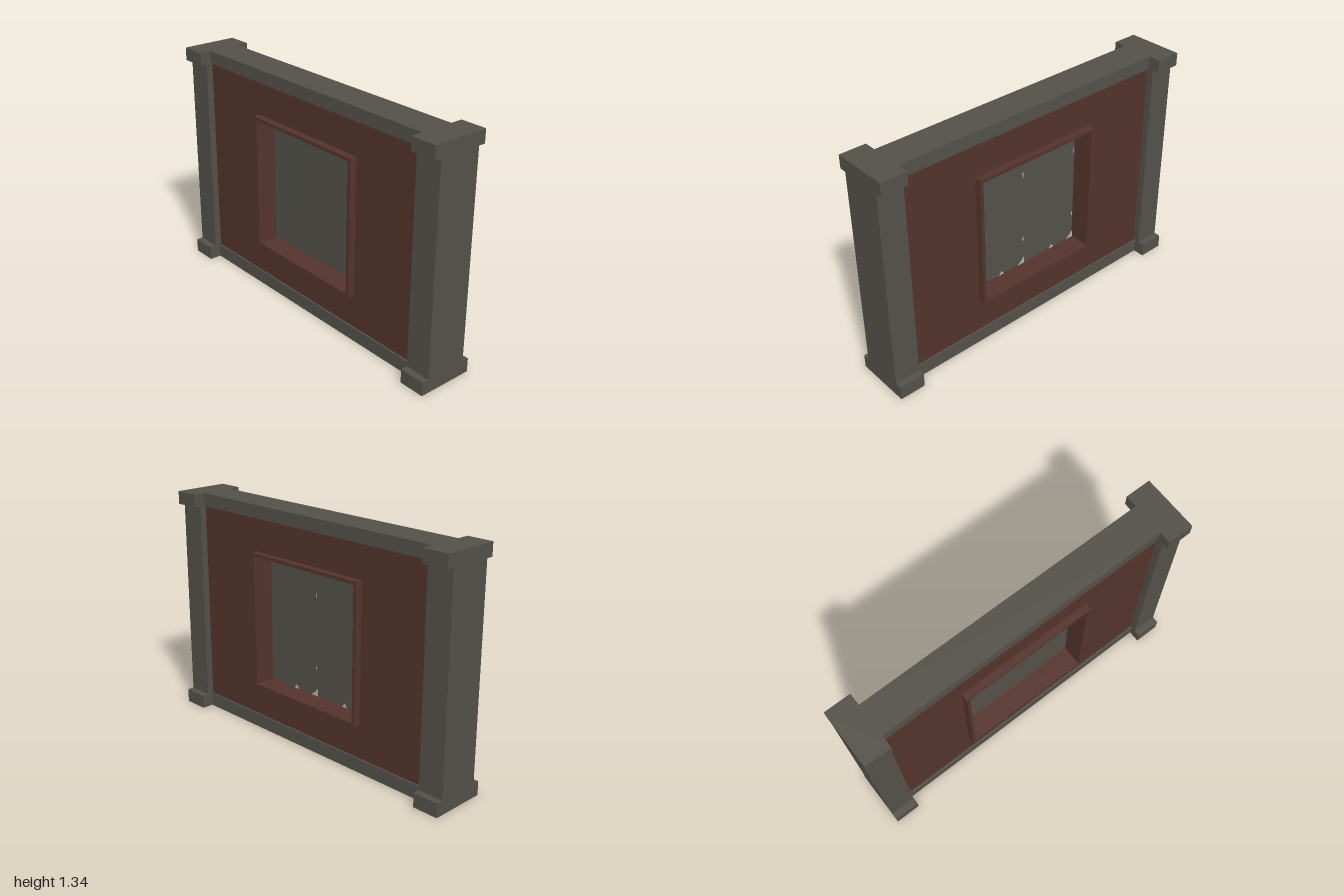
import * as THREE from 'three';

const mat = (name, color, side = THREE.FrontSide) => {
  const m = new THREE.MeshStandardMaterial({ color, side });
  m.name = name;
  return m;
};

export function createModel() {
  const group = new THREE.Group();
  const grey = mat('weathered grey', 0x54514a);
  const brown = mat('red brown', 0x54342c);
  const pane = mat('pane grey', 0x54514a, THREE.DoubleSide);
  const pale = mat('pale chip', 0xb4b4b0, THREE.DoubleSide);

  const add = (name, geometry, material, x = 0, y = 0, z = 0) => {
    const mesh = new THREE.Mesh(geometry, material);
    mesh.name = name;
    mesh.position.set(x, y, z);
    group.add(mesh);
    return mesh;
  };
  const box = (name, w, y0, y1, d, z) =>
    add(name, new THREE.BoxGeometry(w, y1 - y0, d), grey, 0, (y0 + y1) / 2, z);

  // Rectangle with a rectangular opening, extruded along x
  const ring = (name, halfZ, y0, y1, inZ, in0, in1, depth) => {
    const rect = (P, a, b, c) => new P([[-a, b], [a, b], [a, c], [-a, c]].map(p => new THREE.Vector2(...p)));
    const shape = rect(THREE.Shape, halfZ, y0, y1);
    shape.holes.push(rect(THREE.Path, inZ, in0, in1));
    const geometry = new THREE.ExtrudeGeometry(shape, { depth, bevelEnabled: false });
    geometry.translate(0, 0, -depth / 2).rotateY(Math.PI / 2);
    return add(name, geometry, brown);
  };

  // End posts with wider feet and caps
  for (const z of [-0.925, 0.925]) {
    box('post', 0.25, 0.08, 1.26, 0.15, z);
    box('postFoot', 0.33, 0, 0.08, 0.15, z);
    box('postCap', 0.33, 1.26, 1.335, 0.15, z);
  }
  // Bottom and top beams
  box('bottomBeam', 0.19, 0, 0.08, 1.7, 0);
  box('topBeam', 0.19, 1.26, 1.335, 1.7, 0);

  // Wall and window surround
  ring('wallPanel', 0.85, 0.08, 1.26, 0.39, 0.28, 1.06, 0.17);
  ring('windowFrame', 0.4, 0.27, 1.07, 0.38, 0.29, 1.05, 0.25);

  // Window pane in the middle of the wall
  const glass = new THREE.PlaneGeometry(0.76, 0.76).rotateY(Math.PI / 2);
  add('windowPane', glass, pane, 0, 0.67, 0);

  // Pale chips along the pane edges, repeated on both halves: [z, y] corners
  const chips = [
    [[0.19, 1.05], [0.15, 1.05], [0.17, 1.025]],
    [[0.05, 1.05], [0, 1.05], [0, 1.005], [0.02, 1.025]],
    [[0.015, 0.89], [0.005, 0.9], [0.005, 0.86]],
    [[0.015, 0.46], [0.005, 0.48], [0.005, 0.44]],
    [[0.19, 0.29], [0.15, 0.29], [0.17, 0.315]],
    [[0.05, 0.29], [0, 0.29], [0, 0.335], [0.02, 0.315]],
  ];
  for (const shift of [0, -0.38]) {
    for (const chip of chips) {
      const shape = new THREE.Shape(chip.map(([z, y]) => new THREE.Vector2(-z, y)));
      add('paneChip', new THREE.ShapeGeometry(shape).rotateY(Math.PI / 2), pale, 0.003, 0, shift);
    }
  }
  return group;
}
